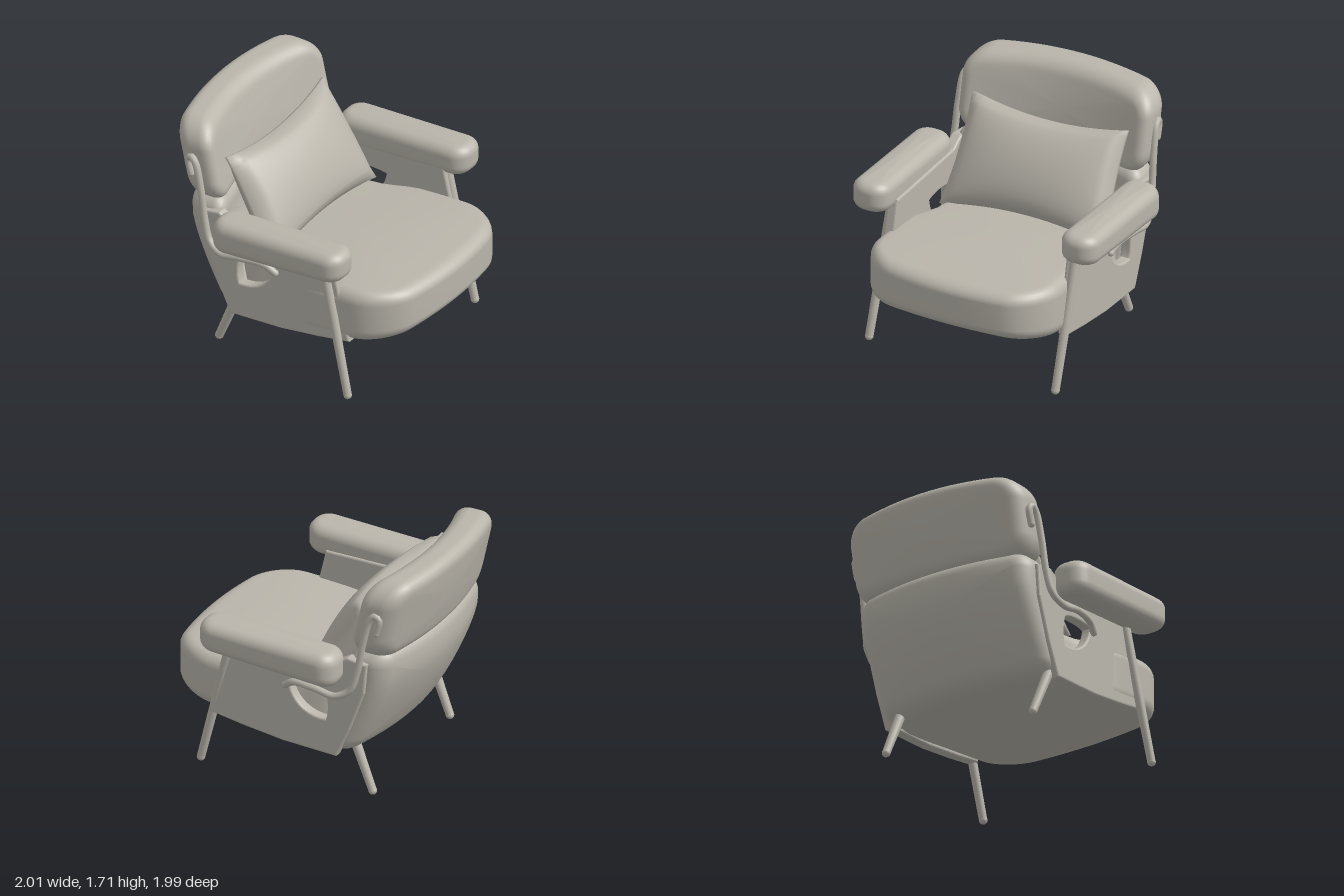
import * as THREE from 'three';
import { mergeVertices } from 'three/addons/utils/BufferGeometryUtils.js';

const upholstery = new THREE.MeshStandardMaterial({ color: 0xb9b5ab });
upholstery.name = 'warm grey';

// Rounded-rectangle outline as points with outward normals, long edges subdivided
function outline(w, h, r) {
  const corners = [[1, 1], [-1, 1], [-1, -1], [1, -1]], raw = [], pts = [];
  corners.forEach(([sx, sy], i) => {
    for (let k = 0; k <= 8; k++) {
      const a = (i + k / 8) * Math.PI / 2, nx = Math.cos(a), ny = Math.sin(a);
      raw.push([sx * (w / 2 - r) + nx * r, sy * (h / 2 - r) + ny * r, nx, ny]);
    }
  });
  raw.forEach((p, i) => {
    const q = raw[(i + 1) % raw.length];
    const n = Math.max(1, Math.ceil(Math.hypot(q[0] - p[0], q[1] - p[1]) / 0.09));
    for (let k = 0; k < n; k++) pts.push(p.map((c, j) => c + (q[j] - c) * k / n));
  });
  return pts;
}

// Soft pad: outline in XY, thickness d along Z, rounded edge, puffed faces, bent by a rule
function pad({ w, h, d, corner, edge, puff, flat = false, bend }) {
  const line = outline(w, h, corner), rings = [], steps = [0, 0.2, 0.4, 0.6, 0.8, 0.93];
  steps.forEach(s => rings.push([edge, s, d / 2 + puff * (1 - s * s)]));
  for (let k = 0; k <= 7; k++) {
    const a = k / 7 * Math.PI / 2;
    rings.push([edge * (1 - Math.sin(a)), 1, d / 2 - edge * (1 - Math.cos(a))]);
  }
  for (const [inset, s, z] of [...rings].reverse()) rings.push([inset, s, -z]);
  const pos = [], index = [], n = line.length;
  for (const [inset, s, z] of rings)
    for (const [x, y, nx, ny] of line) pos.push((x - nx * inset) * s, (y - ny * inset) * s, z);
  for (let j = 0; j < rings.length - 1; j++)
    for (let i = 0; i < n; i++) {
      const a = j * n + i, b = j * n + (i + 1) % n;
      index.push(a, a + n, b + n, a, b + n, b);
    }
  const g = new THREE.BufferGeometry();
  g.setAttribute('position', new THREE.Float32BufferAttribute(pos, 3));
  g.setIndex(index);
  if (flat) g.rotateX(-Math.PI / 2);
  return reshape(g, bend);
}

// Move every vertex by a rule and rebuild smooth normals
function reshape(g, rule) {
  g.deleteAttribute('normal');
  g.deleteAttribute('uv');
  g = mergeVertices(g, 1e-5);
  const p = g.attributes.position, v = new THREE.Vector3();
  for (let i = 0; i < p.count; i++) {
    rule(v.fromBufferAttribute(p, i));
    p.setXYZ(i, v.x, v.y, v.z);
  }
  g.computeVertexNormals();
  return g;
}

// Tapered round rod between two points
function rod(a, b, ra, rb) {
  const dir = new THREE.Vector3(...b).sub(new THREE.Vector3(...a));
  const g = new THREE.CylinderGeometry(rb, ra, dir.length(), 16);
  g.translate(0, dir.length() / 2, 0);
  g.applyQuaternion(new THREE.Quaternion().setFromUnitVectors(new THREE.Vector3(0, 1, 0), dir.normalize()));
  return g.translate(...a);
}

export function createModel() {
  const model = new THREE.Group(), chair = new THREE.Group();
  chair.name = 'armchair';
  chair.rotation.y = 0.2; // chair stands turned slightly to one side
  model.add(chair);
  const add = (name, geometry) => {
    const m = new THREE.Mesh(geometry, upholstery);
    m.name = name;
    chair.add(m);
    return m;
  };

  // Seat: round bowed front, sloping underside, top narrowed beside the panel openings
  add('seat', pad({
    w: 1.44, h: 1.36, d: 0.36, corner: 0.28, edge: 0.085, puff: 0.012, flat: true,
    bend: v => {
      v.z += 0.18;
      const t = v.y / 0.36 + 0.5, rear = 1 - THREE.MathUtils.smoothstep(v.z, -0.1, 0.25);
      const front = Math.max(0, v.z - 0.4) / 0.46;
      v.z += front * (0.105 * (1 - (v.x / 0.72) ** 2) + 0.03 * v.x);
      v.x = v.x * (1 - 0.13 * rear * Math.min(1, 2.5 * t)) - 0.02 * (1 - rear);
      const low = 0.315 + 0.17 * Math.pow(Math.max(0, v.z + 0.5) / 1.45, 1.4);
      const high = 0.765 + 0.06 * THREE.MathUtils.smoothstep(v.z, -0.5, 0.7);
      v.y = low + (high - low) * t;
    },
  }));

  // Lower back: curved around the sitter and sweeping back as it rises
  add('lowerBack', pad({
    w: 1.42, h: 0.84, d: 0.28, corner: 0.12, edge: 0.1, puff: 0.01,
    bend: v => {
      v.y += 0.74;
      v.z += -0.73 + 0.5 * Math.pow(Math.max(0, 0.98 - v.y), 1.35) + 0.23 * v.x * v.x;
    },
  }));

  // Upper back cushion with a gently crowned top, thicker towards the sides
  add('upperBack', pad({
    w: 1.46, h: 0.61, d: 0.26, corner: 0.18, edge: 0.095, puff: 0.01,
    bend: v => {
      const bow = (0.23 + 0.22 * v.z) * v.x * v.x;
      v.y += 1.405 - 0.05 * v.x * v.x * Math.max(0, v.y / 0.3);
      v.z += -0.8 - 0.22 * (v.y - 1.41) + bow;
      v.x += 0.01;
    },
  }));

  // Loose pillow with pinched edges and pulled-out corners, wider at the bottom
  const pillow = add('pillow', reshape(new THREE.BoxGeometry(2, 2, 2, 24, 18, 1), v => {
    const u = v.x, t = v.y, fu = 1 - u * u, ft = 1 - t * t;
    v.z *= 0.012 + 0.15 * Math.pow(fu * ft, 0.42);
    v.x = 0.62 * u * (1 - 0.04 * ft) * (1 - 0.035 * t);
    v.y = 0.4 * t * (1 - 0.17 * fu);
  }));
  pillow.position.set(0.015, 1.1, -0.335);
  pillow.rotation.x = -0.52;

  // Parts that occur on both sides
  for (const s of [1, -1]) {
    const side = s > 0 ? 'left' : 'right';

    // Padded armrest, thicker at the back
    add(side + 'Armrest', pad({
      w: 0.28, h: 1.05, d: 0.24, corner: 0.12, edge: 0.08, puff: 0.008, flat: true,
      bend: v => {
        const t = v.z / 1.05 + 0.5, low = 0.9 + 0.075 * t, high = 1.155 + 0.04 * t;
        v.y = low + (high - low) * (v.y / 0.24 + 0.5);
        v.x += s * 0.8 - 0.01;
        v.z += 0.06 - s * 0.008;
      },
    }));

    // Side panel with a rounded opening
    const shape = new THREE.Shape([[0.4, 1.02], [0.54, 0.43], [0.3, 0.39], [0, 0.35], [-0.4, 0.33],
      [-0.5, 0.55], [-0.61, 0.85], [-0.63, 1.06], [-0.5, 1.08], [-0.4, 1.02]].map(p => new THREE.Vector2(...p)));
    const hole = new THREE.Path();
    hole.moveTo(-0.03, 0.82);
    hole.bezierCurveTo(-0.12, 0.85, -0.3, 0.84, -0.34, 0.8);
    hole.bezierCurveTo(-0.37, 0.72, -0.36, 0.6, -0.34, 0.57);
    hole.bezierCurveTo(-0.2, 0.56, -0.06, 0.63, -0.03, 0.82);
    shape.holes.push(hole);
    const panel = new THREE.ExtrudeGeometry(shape, {
      depth: 0.05, bevelThickness: 0.015, bevelSize: 0.015, bevelSegments: 3, curveSegments: 12,
    });
    panel.translate(0, 0, -0.025).rotateY(-Math.PI / 2).translate(s * 0.695, 0, 0);
    add(side + 'SidePanel', panel);

    // Bent support arm hooked to the upper back
    const path = new THREE.CatmullRomCurve3([[0.75, 0.78, -0.03], [0.77, 0.83, -0.1], [0.8, 0.84, -0.28],
      [0.8, 0.82, -0.44], [0.78, 0.88, -0.54], [0.765, 1.02, -0.59], [0.755, 1.25, -0.63],
      [0.745, 1.44, -0.68], [0.74, 1.475, -0.715], [0.735, 1.45, -0.745], [0.735, 1.34, -0.72]]
      .map(([x, y, z]) => new THREE.Vector3(s * x, y, z)));
    add(side + 'BackSupport', new THREE.TubeGeometry(path, 60, 0.025, 10));
    [0, 1].forEach(t => add(side + 'SupportEnd',
      new THREE.SphereGeometry(0.025, 12, 8).translate(...path.getPoint(t).toArray())));
  }

  // Splayed legs with rounded feet, each slightly different in stance
  const legs = {
    leftFrontLeg: [[0.69, 0.03, 0.65], [0.72, 1, 0.4]],
    rightFrontLeg: [[-0.785, 0.03, 0.58], [-0.73, 1, 0.345]],
    leftRearLeg: [[0.575, 0.03, -0.61], [0.555, 0.38, -0.46]],
    rightRearLeg: [[-0.63, 0.03, -0.56], [-0.655, 0.38, -0.41]],
  };
  for (const [name, [foot, top]] of Object.entries(legs)) {
    add(name, rod(foot, top, 0.029, 0.036));
    add(name + 'Foot', new THREE.SphereGeometry(0.03, 14, 10).translate(...foot));
  }
  return model;
}
